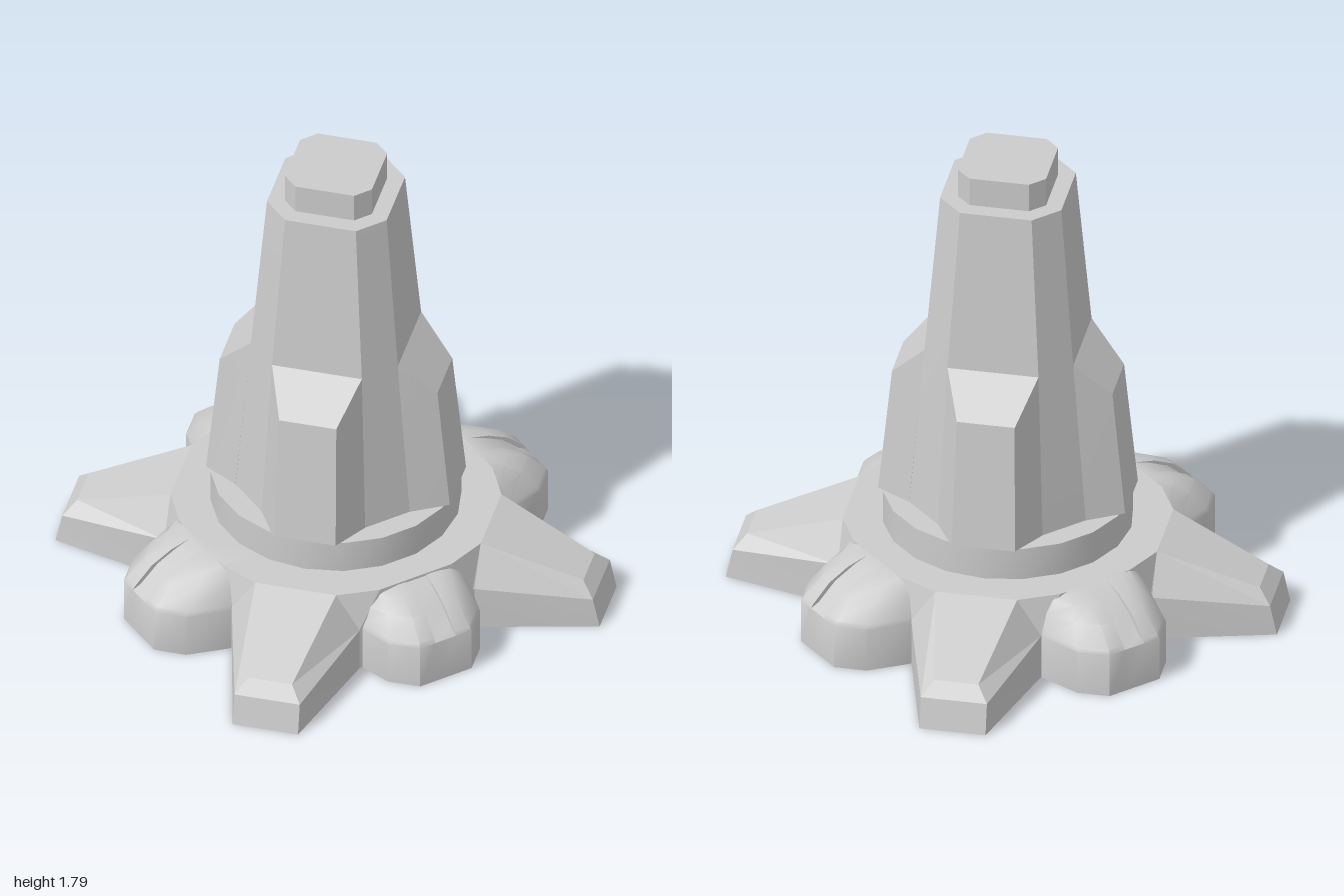
import * as THREE from 'three';
import { toCreasedNormals } from 'three/addons/utils/BufferGeometryUtils.js';

const grey = new THREE.MeshStandardMaterial({ color: 0xcccccc });

// Skins a list of equal-length rings (anticlockwise seen from the last ring) and caps both ends.
function loft(rings, crease = 0.3) {
  const pos = [];
  const tri = (...t) => {
    const [a, b, c] = t.map((p) => new THREE.Vector3(...p));
    if (b.sub(a).cross(c.sub(a)).length() > 1e-7) t.forEach((p) => pos.push(...p));
  };
  const n = rings[0].length;
  const centre = (r) => [0, 1, 2].map((k) => r.reduce((s, p) => s + p[k], 0) / n);
  const first = rings[0], last = rings[rings.length - 1];
  const c0 = centre(first), c1 = centre(last);
  for (let i = 0; i < n; i++) {
    const j = (i + 1) % n;
    for (let r = 0; r + 1 < rings.length; r++) {
      const a = rings[r], b = rings[r + 1];
      tri(a[i], a[j], b[j]);
      tri(a[i], b[j], b[i]);
    }
    tri(c0, first[j], first[i]);
    tri(c1, last[i], last[j]);
  }
  const g = new THREE.BufferGeometry();
  g.setAttribute('position', new THREE.Float32BufferAttribute(pos, 3));
  g.computeVertexNormals();
  return toCreasedNormals(g, crease);
}

// Octagon with flat faces at distance h, each face 2w wide.
const octagon = (h, w, y) => [
  [h, -w], [w, -h], [-w, -h], [-h, -w], [-h, w], [-w, h], [w, h], [h, w],
].map(([x, z]) => [x, y, z]);

// Sixteen-cornered outline for the base, from one quarter.
function baseRing(quarter, y) {
  const ring = [];
  for (let k = 0; k < 4; k++) {
    for (let [x, z] of quarter) {
      for (let t = 0; t < k; t++) [x, z] = [z, -x];
      ring.push([x, y, z]);
    }
  }
  return ring;
}

// Pod outline at one height: half outline, with the groove floor set back by d, then mirrored.
function podRing(y, pts, d) {
  const tip = pts[pts.length - 1][0];
  const half = [...pts, [tip, 0.042], [tip - d, 0.042]];
  return [
    ...half.map(([u, v]) => [u, y, v]),
    ...half.reverse().map(([u, v]) => [u, y, -v]),
  ];
}

export function createModel() {
  const model = new THREE.Group();
  const add = (name, geometry, angle = 0) => {
    const mesh = new THREE.Mesh(geometry, grey);
    mesh.name = name;
    mesh.rotation.y = angle;
    model.add(mesh);
    return mesh;
  };

  // Base block
  const low = [[0.57, -0.235], [0.565, -0.24], [0.24, -0.565], [0.235, -0.57]];
  const high = [[0.57, -0.148], [0.5, -0.29], [0.29, -0.5], [0.148, -0.57]];
  add('base', loft([baseRing(low, 0), baseRing(low, 0.17), baseRing(high, 0.31)]));

  // Round collar under the tower
  const collar = new THREE.CylinderGeometry(0.448, 0.448, 0.125, 20);
  collar.translate(0, 0.3725, 0);
  add('collar', toCreasedNormals(collar, 0.6));

  // Tapered tower and cap
  add('tower', loft([octagon(0.32, 0.19, 0.43), octagon(0.27, 0.165, 1.06), octagon(0.22, 0.13, 1.68)]));
  add('cap', loft([octagon(0.16, 0.108, 1.68), octagon(0.16, 0.108, 1.79)]));

  // Buttress: [y, inner half-width, inner z, outer half-width, outer z]
  const buttress = loft([
    [0.435, 0.19, 0.32, 0.115, 0.448],
    [0.92, 0.171, 0.281, 0.105, 0.4],
    [1.06, 0.165, 0.27, 0.165, 0.27],
  ].map(([y, w, zi, o, zo]) => [[w, y, zi], [-w, y, zi], [-o, y, zo], [o, y, zo]]));

  // Foot with chamfered top and bevelled tip
  const foot = (wb, z0, y1, z1, wt, y2, z2) => [
    [wb, 0, z0], [wb, y1, z1], [wt, y2, z2], [-wt, y2, z2], [-wb, y1, z1], [-wb, 0, z0],
  ];
  const arm = loft([
    foot(0.235, 0.57, 0.17, 0.57, 0.148, 0.31, 0.57),
    foot(0.12, 1, 0.115, 0.975, 0.08, 0.165, 0.93),
    foot(0.12, 1, 0.115, 0.975, 0.12, 0.115, 0.975),
  ]);

  // Domed pod with a groove running down its nose
  const foothold = [[0.4, 0.237], [0.58, 0.235], [0.73, 0.19], [0.813, 0.106]];
  const pod = loft([
    podRing(0, foothold, 0),
    podRing(0.17, foothold, 0),
    podRing(0.185, [[0.4, 0.232], [0.58, 0.23], [0.722, 0.185], [0.803, 0.103]], 0.022),
    podRing(0.25, [[0.4, 0.21], [0.57, 0.205], [0.67, 0.16], [0.735, 0.092]], 0.025),
    podRing(0.29, [[0.4, 0.18], [0.56, 0.178], [0.62, 0.135], [0.655, 0.08]], 0.025),
    podRing(0.31, [[0.4, 0.155], [0.545, 0.153], [0.56, 0.115], [0.575, 0.07]], 0),
  ], 0.6);

  for (let k = 0; k < 4; k++) {
    const angle = (k * Math.PI) / 2;
    add('buttress', buttress, angle);
    add('foot', arm, angle);
    const p = add('pod', pod, angle + Math.PI / 4);
    // The front left pod sits slightly further in
    if (k === 3) p.position.set(-0.03, 0, -0.03);
  }
  return model;
}
